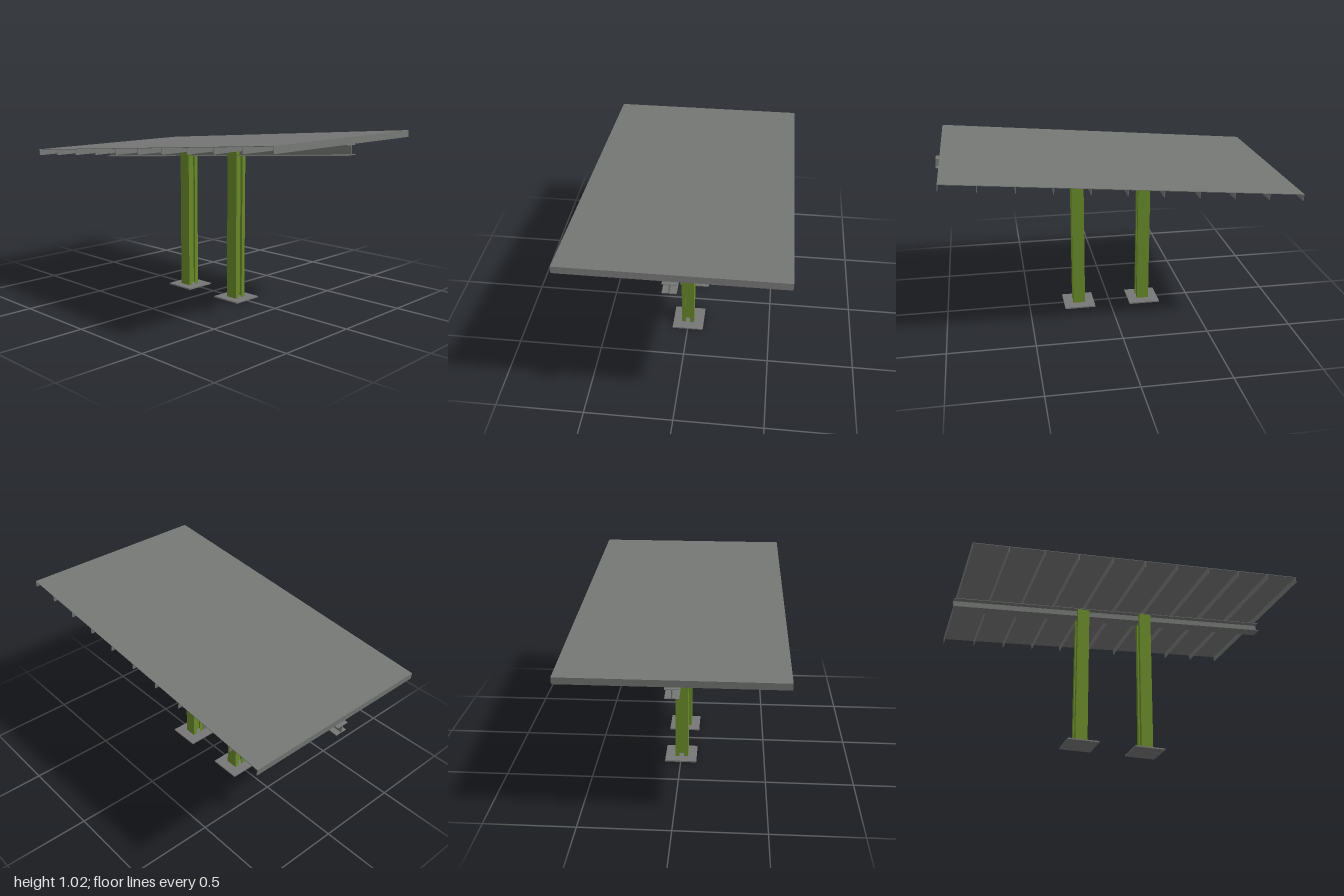
import * as THREE from 'three';

export function createModel() {
  const steel = new THREE.MeshStandardMaterial({ color: 0x757775 });
  steel.name = 'steel grey';
  const green = new THREE.MeshStandardMaterial({ color: 0x6a8a2a });
  green.name = 'post green';

  const model = new THREE.Group();
  model.name = 'canopy';

  const box = (parent, name, mat, size, pos) => {
    const mesh = new THREE.Mesh(new THREE.BoxGeometry(...size), mat);
    mesh.position.set(...pos);
    mesh.name = name;
    parent.add(mesh);
    return mesh;
  };

  const axisX = -0.004; // centre line of the posts and main beam
  const T = 0.003; // sheet thickness

  // Posts: two lipped channels back to back, open to the front and back
  const addPost = (name, z, top) => {
    const post = new THREE.Group();
    post.name = name;
    post.position.set(axisX, 0, z);
    const base = 0.008, h = top - base, y = base + h / 2;
    const w = 0.075, d = 0.073, lip = 0.024;
    box(post, 'postWeb', green, [w - 2 * T, h, T], [0, y, 0]);
    for (const s of [-1, 1]) {
      box(post, 'postSide', green, [T, h, d], [s * (w - T) / 2, y, 0]);
      for (const f of [-1, 1]) {
        box(post, 'postLip', green, [lip - T, h, T], [s * (w / 2 - T - (lip - T) / 2), y, f * (d - T) / 2]);
      }
    }
    box(post, 'basePlate', steel, [0.187, base, 0.187], [-axisX, base / 2, 0]);
    model.add(post);
  };
  addPost('frontPost', 0.192, 0.91);
  addPost('backPost', -0.211, 0.872);

  // Sloping frame, raised towards the front
  const frame = new THREE.Group();
  frame.name = 'slopingFrame';
  frame.position.y = 0.8715;
  frame.rotation.x = -THREE.MathUtils.degToRad(5);
  model.add(frame);

  // Main beam with an I section
  const beamL = 2.003, beamH = 0.054, beamW = 0.073;
  box(frame, 'beamWeb', steel, [0.005, beamH - 2 * T, beamL], [axisX, 0, 0]);
  for (const s of [-1, 1]) {
    box(frame, 'beamFlange', steel, [beamW, T, beamL], [axisX, s * (beamH - T) / 2, 0]);
  }

  // Cross purlins and roof sheet
  const roofW = 1.166, roofL = 1.96, roofTop = 0.065, roofZ = -0.002;
  const bottom = beamH / 2, purlinH = roofTop - T - bottom;
  for (let i = 0; i <= 10; i++) {
    const z = roofZ + (i / 10 - 0.5) * (roofL - T);
    box(frame, 'purlin', steel, [roofW, purlinH, T], [0, bottom + purlinH / 2, z]);
  }
  box(frame, 'roofSheet', steel, [roofW, T, roofL], [0, roofTop - T / 2, roofZ]);

  return model;
}
